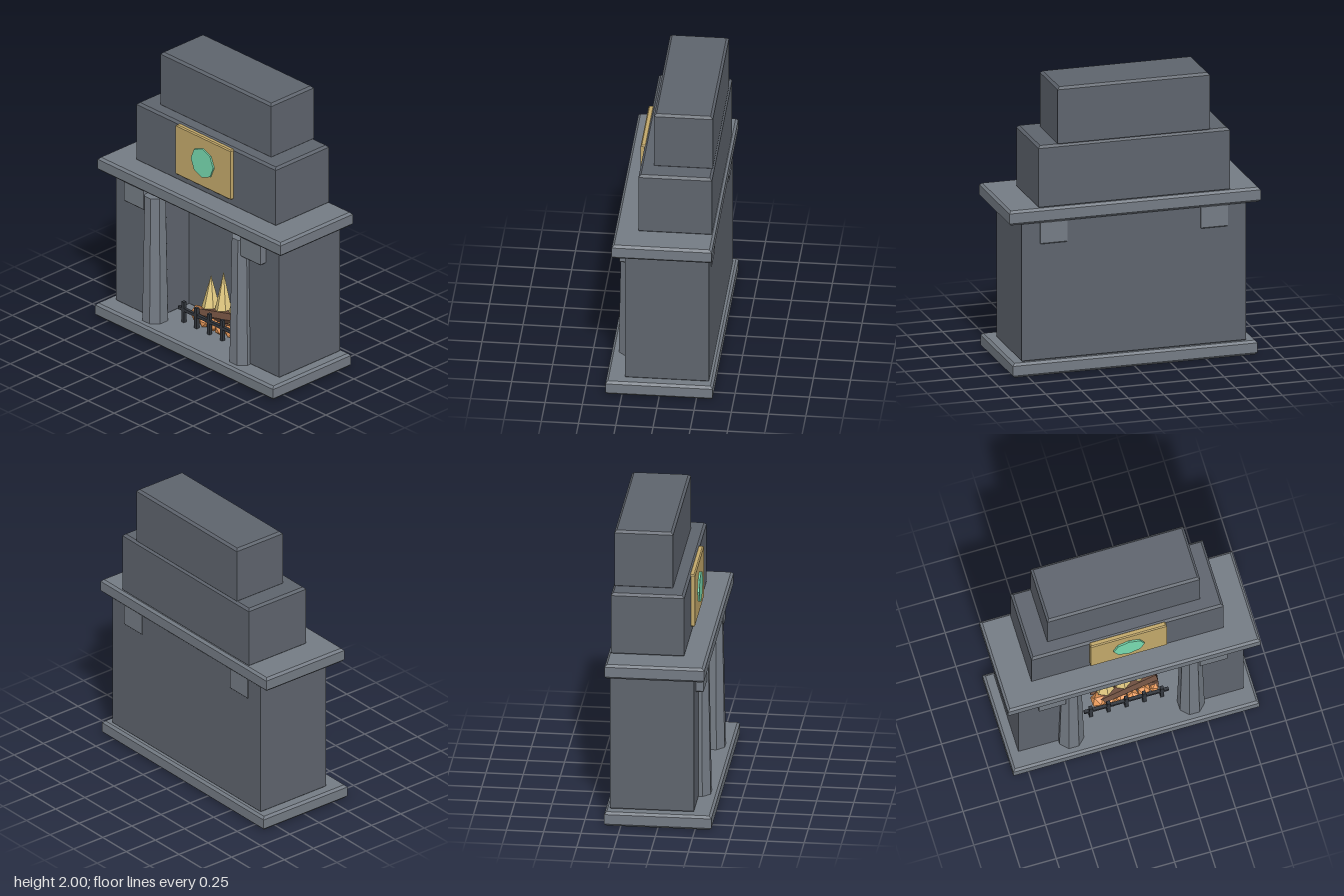
import * as THREE from 'three';

const mat = (color) => new THREE.MeshStandardMaterial({ color, flatShading: true });
const M = {
  darkStone: mat(0x5e646d), stone: mat(0x747b84), brass: mat(0xc2a86a), gem: mat(0x78dab0),
  iron: mat(0x33373e), wood: mat(0x6b4c3c), flame: mat(0xe8cf85), ember: mat(0xe8995a),
};

// Prism standing on y0, its outline given as [x, z] points, with all edges chamfered
function chamferedPrism(points, y0, y1, bevel) {
  const shape = new THREE.Shape(points.map(([x, z]) => new THREE.Vector2(x, -z)));
  const geo = new THREE.ExtrudeGeometry(shape, {
    depth: y1 - y0 - 2 * bevel, bevelEnabled: true, bevelSegments: 1,
    bevelSize: bevel, bevelThickness: bevel, bevelOffset: -bevel,
  });
  return geo.rotateX(-Math.PI / 2).translate(0, y0 + bevel, 0);
}

const block = (x0, x1, y0, y1, z0, z1, bevel = 0.016) =>
  chamferedPrism([[x0, z1], [x1, z1], [x1, z0], [x0, z0]], y0, y1, bevel);

export function createModel() {
  const root = new THREE.Group();
  root.name = 'fireplace';
  const add = (name, geo, material, parent = root) => {
    const mesh = new THREE.Mesh(geo, material);
    mesh.name = name;
    parent.add(mesh);
    return mesh;
  };

  // Stonework: hearth, U-shaped surround, mantel and stepped chimney
  add('hearthSlab', block(-0.857, 0.857, 0, 0.1, -0.36, 0.36), M.stone);
  add('surround', chamferedPrism([
    [-0.785, 0.235], [-0.41, 0.235], [-0.41, -0.08], [0.41, -0.08],
    [0.41, 0.235], [0.785, 0.235], [0.785, -0.328], [-0.785, -0.328],
  ], 0.09, 1.08, 0.016), M.darkStone);
  add('mantel', block(-0.88, 0.88, 1.068, 1.17, -0.355, 0.315), M.stone);
  add('lowerChimney', block(-0.67, 0.67, 1.16, 1.603, -0.336, 0.157), M.darkStone);
  add('upperChimney', block(-0.533, 0.533, 1.59, 2, -0.328, 0.067), M.darkStone);

  // Tapered octagonal pillars and the brackets under the mantel
  for (const [side, s] of [['left', 1], ['right', -1]]) {
    const pillar = add(side + 'Pillar',
      new THREE.CylinderGeometry(0.076, 0.093, 0.94, 8, 1, false, Math.PI / 8), M.stone);
    pillar.position.set(s * 0.42, 0.56, 0.225);
    const bracket = add(side + 'Bracket', block(-0.095, 0.095, 0.91, 1.075, -0.335, 0.287, 0.01), M.stone);
    bracket.position.x = s * 0.562;
  }

  // Plaque with an octagonal stone
  add('plaque', block(-0.265, 0.265, 1.222, 1.595, 0.145, 0.184, 0.008), M.brass);
  add('plaqueStone', new THREE.CylinderGeometry(0.108, 0.108, 0.03, 8).rotateX(Math.PI / 2), M.gem)
    .position.set(0, 1.408, 0.181);

  // Fire: logs, embers, flames
  const fire = new THREE.Group();
  fire.name = 'fire';
  root.add(fire);
  for (const [x, y, z, length, yaw, tilt] of [
    [0.02, 0.15, 0, 0.46, -0.15, 0], [0.03, 0.215, 0.04, 0.42, 0.1, 0.18],
  ]) {
    const log = add('log', new THREE.CylinderGeometry(0.04, 0.046, length, 6).rotateZ(Math.PI / 2), M.wood, fire);
    log.position.set(x, y, z);
    log.rotation.set(0, yaw, tilt);
  }
  [[-0.17, 0.17, 0.06, 0.06], [-0.09, 0.145, 0.08, 0.045], [-0.02, 0.15, 0.07, 0.052],
    [0.06, 0.145, 0.08, 0.045], [0.14, 0.15, 0.06, 0.05], [0.21, 0.14, 0.06, 0.04]]
    .forEach(([x, y, z, r], i) => {
      const ember = add('ember', new THREE.IcosahedronGeometry(r, 0), M.ember, fire);
      ember.position.set(x, y, z);
      ember.rotation.set(i * 0.7, i * 1.1, 0);
    });
  for (const [x, top, r] of [[-0.11, 0.46, 0.07], [0.01, 0.53, 0.068], [0.12, 0.43, 0.06]]) {
    const height = top - 0.2;
    add('flame', new THREE.ConeGeometry(r, height, 6), M.flame, fire)
      .position.set(x, 0.2 + height / 2, 0.005);
  }

  // Iron grate in front of the fire
  const grate = new THREE.Group();
  grate.name = 'grate';
  grate.position.z = 0.125;
  root.add(grate);
  add('grateRail', new THREE.BoxGeometry(0.59, 0.022, 0.022), M.iron, grate).position.y = 0.195;
  for (let i = -2; i <= 2; i++) {
    add('gratePost', new THREE.BoxGeometry(0.024, 0.155, 0.024), M.iron, grate)
      .position.set(i * 0.124, 0.175, 0);
  }
  return root;
}
